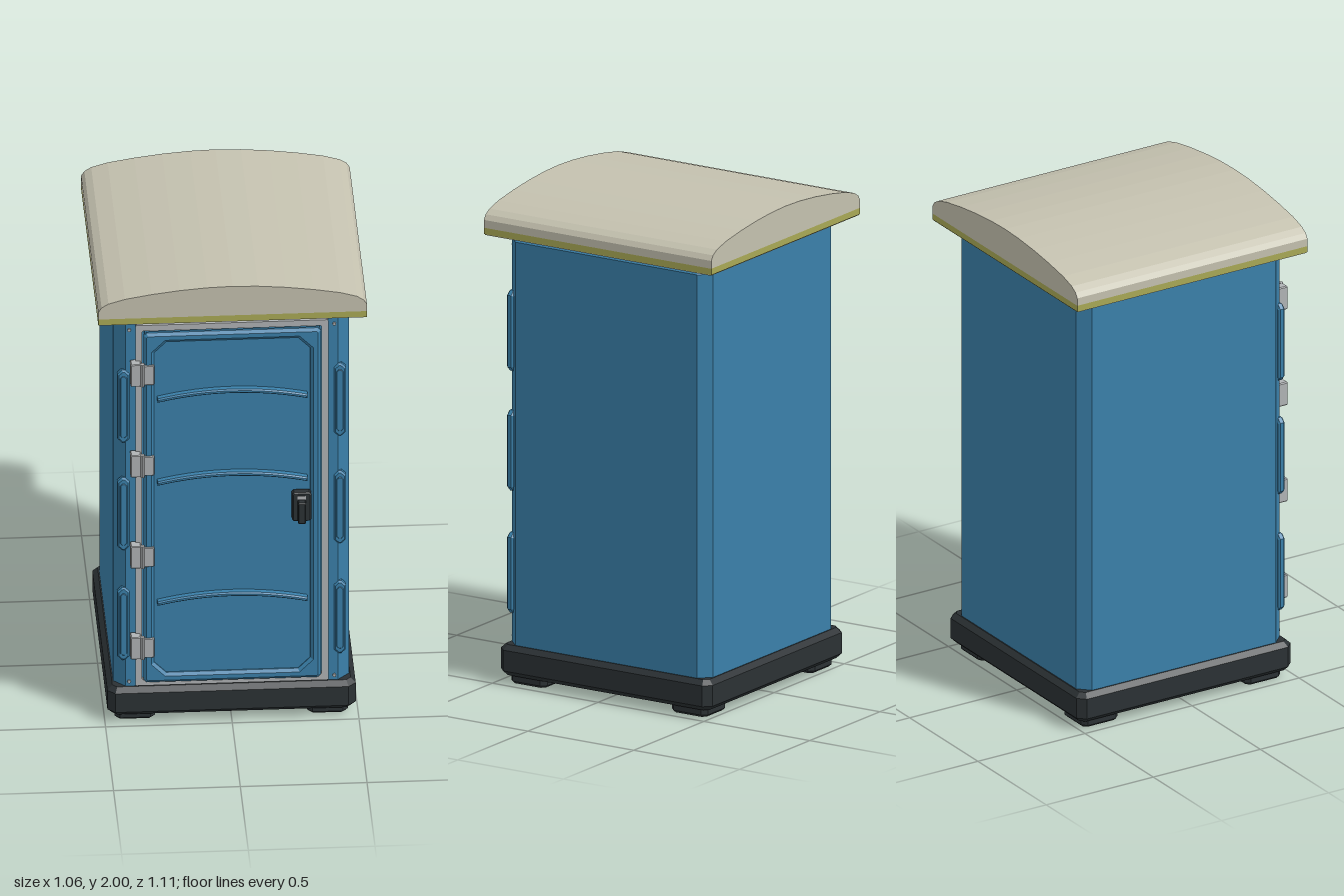
import * as THREE from 'three';

const mat = (color) => new THREE.MeshStandardMaterial({ color, flatShading: true });
const blue = mat(0x3a80aa), dark = mat(0x2b3134), grey = mat(0xb0b3b5);
const beige = mat(0xc4c1af), olive = mat(0xa9a955);
const CZ = -0.015; // middle of the cabin in z

function add(parent, name, geometry, material, x = 0, y = 0, z = 0) {
  const mesh = new THREE.Mesh(geometry, material);
  mesh.name = name;
  mesh.position.set(x, y, z);
  parent.add(mesh);
  return mesh;
}

// Rectangle with cut corners, as a Shape or a hole Path
function cutRect(w, h, c, Type = THREE.Shape) {
  const x = w / 2, y = h / 2;
  return new Type([
    [x - c, -y], [x, -y + c], [x, y - c], [x - c, y],
    [-x + c, y], [-x, y - c], [-x, -y + c], [-x + c, -y],
  ].map(([a, b]) => new THREE.Vector2(a, b)));
}

// Block with cut corners and bevelled ends, centred, extruded along z
function block(w, h, d, cut, bevel) {
  const g = new THREE.ExtrudeGeometry(cutRect(w, h, cut), {
    depth: d - 2 * bevel, bevelEnabled: true, bevelThickness: bevel,
    bevelSize: bevel, bevelOffset: -bevel, bevelSegments: 1,
  });
  return g.translate(0, 0, -d / 2 + bevel);
}

// The same block standing upright: w along x, h along y, d along z
const upright = (w, h, d, cut, bevel) => block(w, d, h, cut, bevel).rotateX(-Math.PI / 2);

function ringGeometry(w, h, band, depth) {
  const s = cutRect(w, h, 0.004);
  s.holes.push(cutRect(w - 2 * band, h - 2 * band, 0.004, THREE.Path));
  return new THREE.ExtrudeGeometry(s, { depth, bevelEnabled: false });
}

function buildRoof() {
  const roof = new THREE.Group();
  roof.name = 'roof';
  const half = [[0.53, 1.868], [0.53, 1.9], [0.517, 1.92], [0.49, 1.937], [0.425, 1.956],
    [0.32, 1.974], [0.21, 1.988], [0.1, 1.997]];
  const pts = [...half, [0, 2], ...half.slice().reverse().map(([x, y]) => [-x, y])];
  const shell = new THREE.ExtrudeGeometry(
    new THREE.Shape(pts.map(([x, y]) => new THREE.Vector2(x, y))),
    { depth: 1.075, bevelEnabled: false });
  add(roof, 'roofShell', shell, beige, 0, 0, -0.555);
  add(roof, 'roofTrim', new THREE.BoxGeometry(1.06, 0.026, 1.075), olive, 0, 1.855, -0.0175);
  add(roof, 'roofUnderside', new THREE.BoxGeometry(1.052, 0.006, 1.067), beige, 0, 1.841, -0.0175);
  return roof;
}

function buildDoor() {
  const door = new THREE.Group();
  door.name = 'door';
  add(door, 'doorFrame', ringGeometry(0.76, 1.64, 0.026, 0.025), grey, 0, 0.99, 0.453);
  add(door, 'doorPanel', new THREE.BoxGeometry(0.69, 1.58, 0.028), blue, 0, 0.99, 0.476);

  // Raised rim round the recessed panel
  const rim = cutRect(0.676, 1.566, 0.005);
  rim.holes.push(cutRect(0.64, 1.53, 0.055, THREE.Path));
  add(door, 'doorRim', new THREE.ExtrudeGeometry(rim, {
    depth: 0.01, bevelEnabled: true, bevelThickness: 0.01, bevelSize: 0.012, bevelSegments: 1,
  }), blue, 0, 0.99, 0.485);

  // Arched ribs
  for (const y of [1.478, 1.1, 0.553]) {
    const s = new THREE.Shape();
    s.moveTo(-0.295, 0);
    s.quadraticCurveTo(0, 0.068, 0.295, 0);
    s.lineTo(0.295, 0.016);
    s.quadraticCurveTo(0, 0.084, -0.295, 0.016);
    const g = new THREE.ExtrudeGeometry(s, {
      depth: 0.022, bevelEnabled: true, bevelThickness: 0.006, bevelSize: 0.005,
      bevelOffset: -0.004, bevelSegments: 1, curveSegments: 16,
    });
    add(door, 'doorRib', g, blue, 0, y, 0.492);
  }

  // Hinges: two leaves and a pin
  for (const y of [1.6, 1.187, 0.772, 0.358]) {
    const hinge = new THREE.Group();
    hinge.name = 'hinge';
    hinge.position.set(-0.355, y, 0);
    add(hinge, 'frameLeaf', block(0.042, 0.1, 0.045, 0.004, 0.003), grey, -0.026, 0, 0.488);
    add(hinge, 'doorLeaf', block(0.042, 0.088, 0.03, 0.004, 0.003), grey, 0.026, 0, 0.496);
    add(hinge, 'hingePin', new THREE.CylinderGeometry(0.009, 0.009, 0.1, 10), grey, 0, 0, 0.506);
    door.add(hinge);
  }

  // Latch
  const latch = new THREE.Group();
  latch.name = 'latch';
  latch.position.set(0.272, 0.99, 0);
  add(latch, 'latchPlate', block(0.076, 0.13, 0.036, 0.008, 0.005), dark, 0, 0, 0.513);
  add(latch, 'latchLever', block(0.032, 0.095, 0.035, 0.004, 0.004), dark, 0, -0.014, 0.542);
  add(latch, 'latchIndicator', new THREE.BoxGeometry(0.034, 0.014, 0.006), grey, 0, 0.044, 0.53);
  door.add(latch);
  return door;
}

export function createModel() {
  const model = new THREE.Group();
  model.name = 'portableCabin';

  // Base and feet
  add(model, 'base', upright(0.98, 0.125, 1.0, 0.03, 0.02), dark, 0, 0.0975, CZ);
  for (const sx of [-1, 1]) for (const sz of [-1, 1]) {
    add(model, 'foot', upright(0.16, 0.045, 0.17, 0.02, 0.01), dark, sx * 0.38, 0.0225, CZ + sz * 0.38);
  }

  // Cabin walls with chamfered corners
  add(model, 'cabin', upright(0.93, 1.72, 0.95, 0.046, 0.03), blue, 0, 0.98, CZ);

  // Corner panels and screws on both front posts
  for (const side of [-1, 1]) {
    for (const y of [0.445, 0.945, 1.435]) {
      add(model, 'cornerPanel', block(0.048, 0.33, 0.03, 0.018, 0.007), blue, side * 0.427, y, 0.452);
      add(model, 'cornerPanelInset', block(0.026, 0.28, 0.006, 0.009, 0.002), blue, side * 0.427, y, 0.467);
    }
    for (const y of [0.182, 1.782]) {
      const screw = new THREE.CylinderGeometry(0.007, 0.007, 0.01, 8).rotateX(Math.PI / 2);
      add(model, 'screw', screw, grey, side * 0.405, y, 0.462);
    }
  }

  model.add(buildDoor(), buildRoof());
  return model;
}
